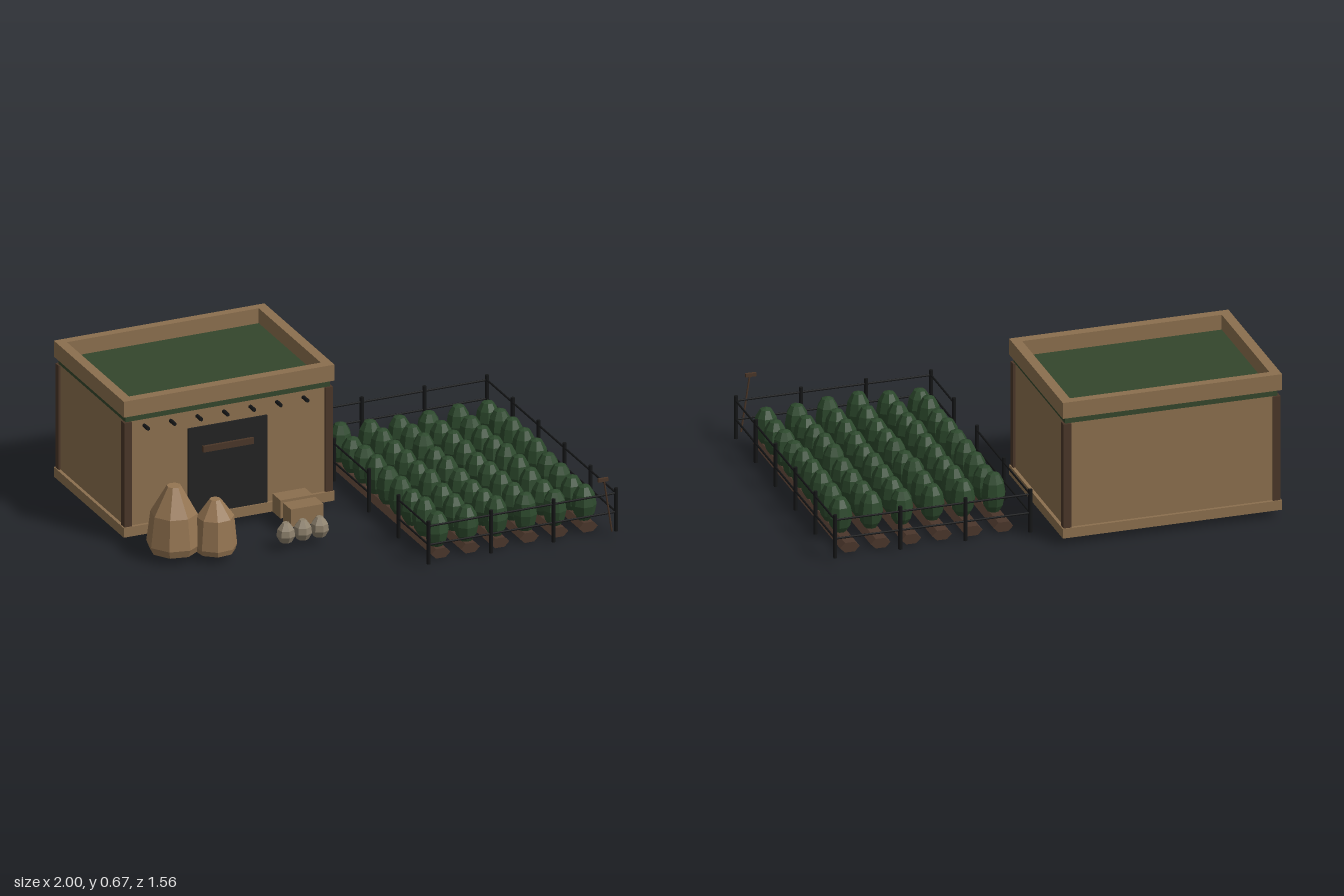
import * as THREE from 'three';

const mat = (name, color) => {
  const m = new THREE.MeshStandardMaterial({ color });
  m.name = name;
  return m;
};

export function createModel() {
  const model = new THREE.Group();
  const adobe = mat('adobe', 0x8b6f4e);
  const straw = mat('straw', 0x957552);
  const timber = mat('dark timber', 0x4a3628);
  const soil = mat('soil', 0x4a362b);
  const roofGreen = mat('roof green', 0x34462c);
  const leaf = mat('leaf green', 0x2c482c);
  const charcoal = mat('charcoal', 0x222222);
  const iron = mat('iron', 0x151617);
  const sackcloth = mat('sackcloth', 0x8c806c);

  const add = (parent, name, geo, material) => {
    const mesh = new THREE.Mesh(geo, material);
    mesh.name = name;
    parent.add(mesh);
    return mesh;
  };
  const group = (name) => {
    const g = new THREE.Group();
    g.name = name;
    model.add(g);
    return g;
  };
  // Box given by its limits on each axis
  const box = (parent, name, material, x0, x1, y0, y1, z0, z1) => {
    const mesh = add(parent, name, new THREE.BoxGeometry(x1 - x0, y1 - y0, z1 - z0), material);
    mesh.position.set((x0 + x1) / 2, (y0 + y1) / 2, (z0 + z1) / 2);
    return mesh;
  };
  const faceted = (geo) => {
    const g = geo.toNonIndexed();
    g.computeVertexNormals();
    return g;
  };
  const lathe = (points, sides) =>
    faceted(new THREE.LatheGeometry(points.map(([r, y]) => new THREE.Vector2(r, y)), sides));
  // Round bar between two points
  const bar = (parent, name, material, a, b, r) => {
    const from = new THREE.Vector3(...a), to = new THREE.Vector3(...b);
    const dir = to.clone().sub(from);
    const mesh = add(parent, name, new THREE.CylinderGeometry(r, r, dir.length(), 6), material);
    mesh.position.copy(from).add(to).multiplyScalar(0.5);
    mesh.quaternion.setFromUnitVectors(new THREE.Vector3(0, 1, 0), dir.normalize());
    return mesh;
  };
  let seed = 7;
  const random = () => {
    seed = (seed * 16807) % 2147483647;
    return seed / 2147483647;
  };

  // House: plinth, walls, roof slab and parapet
  const house = group('house');
  box(house, 'plinth', adobe, -1, 0, 0.035, 0.08, -0.78, -0.04);
  box(house, 'walls', adobe, -0.985, -0.015, 0.08, 0.57, -0.765, -0.055);
  box(house, 'roofSlab', roofGreen, -0.985, -0.015, 0.57, 0.605, -0.765, -0.055);
  box(house, 'parapetFront', adobe, -1, 0, 0.6, 0.675, -0.085, -0.04);
  box(house, 'parapetBack', adobe, -1, 0, 0.6, 0.675, -0.78, -0.74);
  for (const x of [-1, -0.045]) box(house, 'parapetSide', adobe, x, x + 0.045, 0.6, 0.675, -0.74, -0.085);
  for (const x of [-0.995, -0.04])
    for (const z of [-0.775, -0.08]) box(house, 'cornerPost', timber, x, x + 0.035, 0.08, 0.57, z, z + 0.035);

  // Door with crossbar, and the row of beam ends above it
  box(house, 'door', charcoal, -0.69, -0.315, 0.08, 0.49, -0.056, -0.047);
  box(house, 'doorBar', timber, -0.625, -0.385, 0.372, 0.4, -0.048, -0.034);
  for (let i = 0; i < 7; i++) {
    const x = -0.897 + i * 0.126;
    bar(house, 'beamEnd', iron, [x, 0.541, -0.06], [x, 0.541, -0.01], 0.009);
  }

  // Two blocks beside the door
  box(model, 'backBlock', adobe, -0.295, -0.14, 0.035, 0.12, -0.04, 0.045);
  box(model, 'frontBlock', adobe, -0.295, -0.14, 0.035, 0.12, 0.07, 0.155);

  // Straw stacks
  const bigStack = add(model, 'largeStack',
    lathe([[0, 0.035], [0.108, 0.035], [0.122, 0.07], [0.104, 0.21], [0.032, 0.335], [0, 0.335]], 8), straw);
  bigStack.position.set(-0.853, 0, 0.163);
  bigStack.rotation.y = 0.2;
  const smallStack = add(model, 'smallStack',
    lathe([[0, 0.035], [0.088, 0.035], [0.096, 0.06], [0.083, 0.195], [0.025, 0.275], [0, 0.275]], 8), straw);
  smallStack.position.set(-0.693, 0, 0.242);
  smallStack.rotation.y = 0.5;

  // Sacks
  const sackGeo = lathe([[0, 0.035], [0.026, 0.035], [0.042, 0.065], [0.038, 0.095], [0.015, 0.125], [0, 0.125]], 7);
  for (let i = 0; i < 3; i++) {
    const sack = add(model, 'sack', sackGeo, sackcloth);
    sack.position.set(-0.377 + i * 0.08, 0, 0.285);
    sack.rotation.y = i * 0.9;
  }

  // Crop beds with rows of plants
  const field = group('field');
  const bedGeo = faceted(new THREE.CylinderGeometry(0.045, 0.045, 1.2, 6, 1, false, Math.PI / 6)
    .rotateX(Math.PI / 2).scale(1, 0.577, 1));
  const plantGeo = lathe([[0, 0], [0.024, 0], [0.045, 0.035], [0.055, 0.085], [0.046, 0.14],
    [0.026, 0.178], [0, 0.188]], 8);
  for (let i = 0; i < 6; i++) {
    const x = 0.195 + i * 0.14;
    add(field, 'bed', bedGeo, soil).position.set(x, 0.0225, 0.05);
    for (let j = 0; j < 9; j++) {
      const plant = add(field, 'plant', plantGeo, leaf);
      plant.position.set(x, 0.04, -0.412 + j * 0.127);
      plant.rotation.y = random() * Math.PI;
      plant.scale.set(1, 0.86 + random() * 0.15, 1);
    }
  }

  // Fence with a gap on the house side
  const fence = group('fence');
  const [x0, x1, z0, z1] = [0.1, 0.99, -0.633, 0.732];
  const posts = [[x0, z0], [x0, -0.27], [x0, 0.1], [x0, 0.415], [x0, z1]];
  for (const z of [z0, z1]) posts.push([0.396, z], [0.693, z]);
  for (let i = 0; i < 6; i++) posts.push([x1, z0 + ((z1 - z0) * i) / 5]);
  for (const [x, z] of posts) bar(fence, 'fencePost', iron, [x, 0.02, z], [x, 0.222, z], 0.009);
  for (const y of [0.11, 0.198]) {
    const rail = (xa, za, xb, zb) => bar(fence, 'fenceRail', iron, [xa, y, za], [xb, y, zb], 0.0045);
    rail(x0, z0, x1, z0);
    rail(x0, z1, x1, z1);
    rail(x1, z0, x1, z1);
    rail(x0, z0, x0, 0.1);
    rail(x0, 0.415, x0, z1);
  }

  // Hoe leaning by the fence
  const hoe = group('hoe');
  bar(hoe, 'hoeHandle', timber, [0.957, 0.035, 0.76], [0.912, 0.292, 0.776], 0.004);
  box(hoe, 'hoeHead', timber, 0.884, 0.932, 0.284, 0.3, 0.77, 0.782);

  return model;
}
